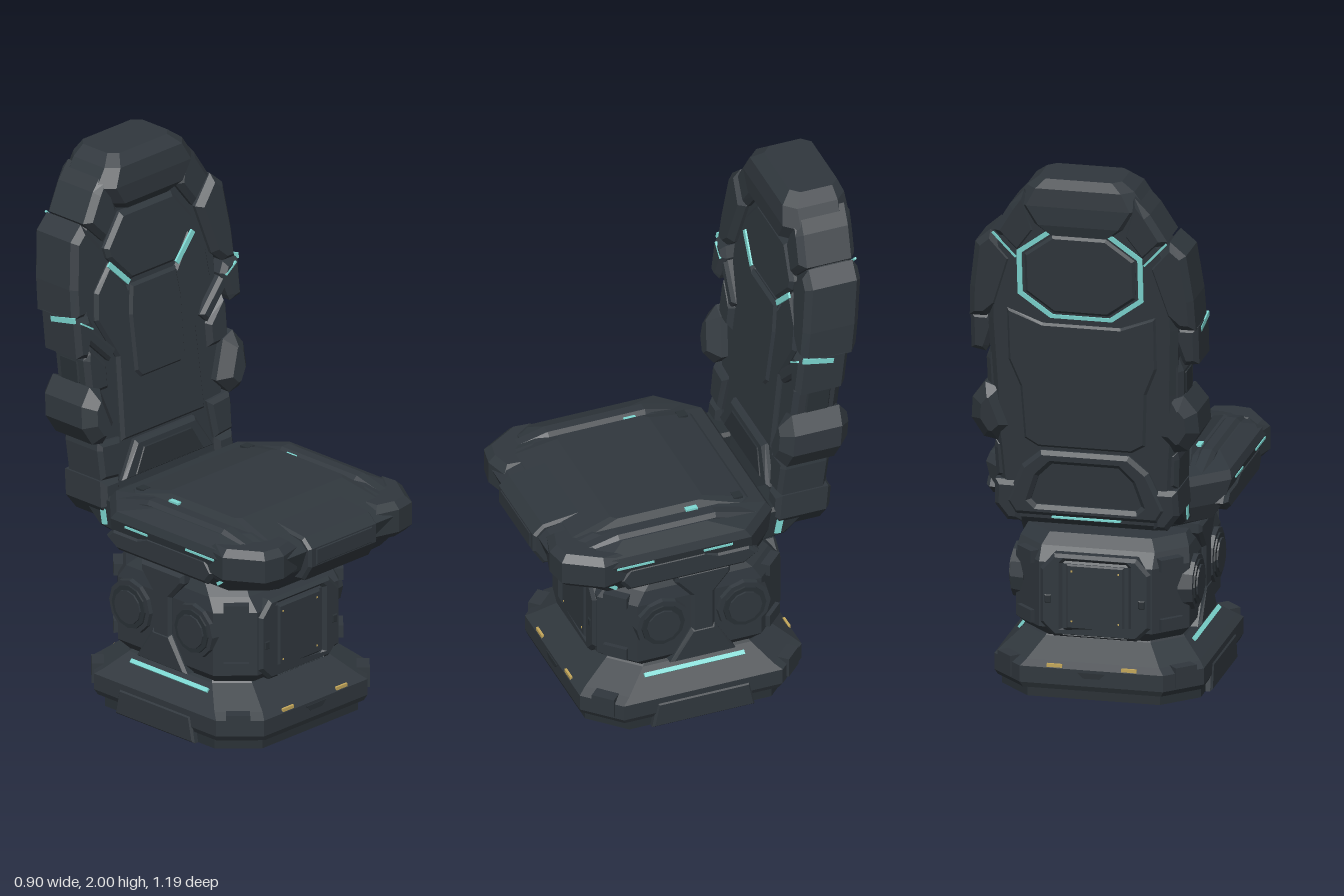
import * as THREE from 'three';

const mat = (name, color) => {
  const m = new THREE.MeshStandardMaterial({ color });
  m.name = name;
  return m;
};

export function createModel() {
  const shell = mat('dark shell', 0x30373d), joint = mat('joint grey', 0x293035);
  const glow = mat('cyan trim', 0x7dd8d2), gold = mat('gold marks', 0xc4a75a);
  const model = new THREE.Group();
  let group;
  const section = (name) => {
    group = new THREE.Group();
    group.name = name;
    model.add(group);
  };

  const add = (name, m, geo) => {
    const g = geo.index ? geo.toNonIndexed() : geo;
    g.computeVertexNormals(); // faceted look
    const mesh = new THREE.Mesh(g, m);
    mesh.name = name;
    group.add(mesh);
    return mesh;
  };

  // Bevelled outline extruded from a to b along an axis:
  // 'z' uses (x, y) points, 'x' uses (z, y), 'y' uses (x, z)
  const plate = (name, m, pts, a, b, bevel = 0.01, axis = 'z', lean = false, hole = null) => {
    const v = (list) => list.map(([x, y]) => new THREE.Vector2(x, y));
    const shape = new THREE.Shape(v(pts));
    if (hole) shape.holes.push(new THREE.Path(v(hole)));
    const geo = new THREE.ExtrudeGeometry(shape, {
      depth: b - a - 2 * bevel, bevelEnabled: bevel > 0, bevelThickness: bevel,
      bevelSize: bevel, bevelOffset: -bevel, bevelSegments: 1, curveSegments: 1,
    });
    geo.translate(0, 0, (axis === 'z' ? a : -b) + bevel);
    if (axis === 'x') geo.rotateY(-Math.PI / 2);
    if (axis === 'y') geo.rotateX(Math.PI / 2);
    if (lean) { // tilt of the backrest
      const p = geo.attributes.position;
      for (let i = 0; i < p.count; i++) p.setZ(i, p.getZ(i) - 0.385 - 0.112 * (p.getY(i) - 1));
    }
    return add(name, m, geo);
  };
  const back = (name, m, pts, a, b, bevel, hole) => plate(name, m, pts, a, b, bevel, 'z', true, hole);
  const mirror = (pts) => [...pts, ...pts.map(([x, y]) => [-x, y]).reverse()];
  const flip = (pts, s) => pts.map(([x, y]) => [x * s, y]);
  const rect = (x0, x1, y0, y1) => [[x0, y0], [x1, y0], [x1, y1], [x0, y1]];
  const strip = (x0, y0, x1, y1, w) => {
    const l = Math.hypot(x1 - x0, y1 - y0), nx = (y0 - y1) / l * w / 2, ny = (x1 - x0) / l * w / 2;
    return [[x0 + nx, y0 + ny], [x0 - nx, y0 - ny], [x1 - nx, y1 - ny], [x1 + nx, y1 + ny]];
  };
  const range = (s, a, b) => (s > 0 ? [a, b] : [-b, -a]);

  // Loft of chamfered rectangles, rows are [y, halfWidth, zFront, zBack, chamfer]
  const loft = (name, m, rows) => {
    const rings = rows.map(([y, w, f, k, c]) => [
      [w, k + c], [w, f - c], [w - c, f], [c - w, f], [-w, f - c], [-w, k + c], [c - w, k], [w - c, k],
    ].map(([x, z]) => [x, y, z]));
    const pos = [], n = 8, last = rings.length - 1;
    for (let i = 0; i < last; i++) for (let j = 0; j < n; j++) {
      const a = rings[i][j], b = rings[i][(j + 1) % n], c = rings[i + 1][j], d = rings[i + 1][(j + 1) % n];
      pos.push(...a, ...c, ...b, ...b, ...c, ...d);
    }
    for (let j = 1; j < n - 1; j++) {
      pos.push(...rings[0][0], ...rings[0][j], ...rings[0][j + 1]);
      pos.push(...rings[last][0], ...rings[last][j + 1], ...rings[last][j]);
    }
    const geo = new THREE.BufferGeometry();
    geo.setAttribute('position', new THREE.Float32BufferAttribute(pos, 3));
    return add(name, m, geo);
  };

  // Foot
  section('base');
  loft('basePlate', joint, [[0, 0.36, 0.43, -0.35, 0.12], [0.05, 0.36, 0.43, -0.35, 0.12]]);
  loft('baseBody', shell, [[0.04, 0.37, 0.45, -0.375, 0.12], [0.06, 0.38, 0.458, -0.385, 0.12],
    [0.12, 0.38, 0.458, -0.385, 0.12], [0.14, 0.36, 0.43, -0.36, 0.12],
    [0.205, 0.29, 0.33, -0.28, 0.1], [0.235, 0.27, 0.3, -0.25, 0.09]]);
  for (const s of [1, -1]) {
    plate('sideStep', shell, [[0.23, 0.0], [-0.16, 0.0], [-0.14, 0.1], [0.21, 0.1]], ...range(s, 0.3, 0.385), 0.008, 'x');
    const line = add('baseGlow', glow, new THREE.BoxGeometry(0.008, 0.016, 0.38));
    line.position.set(s * 0.316, 0.186, 0.045);
    line.rotation.z = s * 0.82;
    for (const [z, k] of [[0.458, 1], [-0.385, -1]]) {
      add('goldMark', gold, new THREE.BoxGeometry(0.055, 0.012, 0.009)).position.set(s * 0.135, 0.128, z - k * 0.007);
      // Corner armour
      const block = add('cornerArmour', shell, new THREE.BoxGeometry(0.085, 0.075, 0.06));
      block.position.set(s * 0.31, 0.105, z - k * 0.08);
      block.rotation.y = s * k * Math.PI / 4;
    }
  }
  for (const [a, b] of [[0.452, 0.461], [-0.389, -0.38]])
    plate('vent', joint, mirror([[0.03, 0.09], [0.05, 0.11]]), a, b, 0);

  // Pedestal
  section('pedestal');
  loft('pedestalBody', shell, [[0.21, 0.28, 0.33, -0.28, 0.1], [0.25, 0.315, 0.37, -0.32, 0.11],
    [0.49, 0.315, 0.37, -0.32, 0.11], [0.54, 0.305, 0.33, -0.28, 0.1], [0.578, 0.285, 0.29, -0.24, 0.1]]);
  loft('neck', joint, [[0.56, 0.15, 0.15, -0.12, 0.05], [0.59, 0.15, 0.15, -0.12, 0.05], [0.62, 0.24, 0.23, -0.23, 0.06]]);
  const frame = mirror([[0.15, 0.22], [0.2, 0.27], [0.2, 0.47], [0.15, 0.525]]);
  const opening = mirror([[0.11, 0.24], [0.12, 0.25], [0.12, 0.49], [0.11, 0.5]]);
  for (const k of [1, -1]) {
    const z = k > 0 ? 0.37 : 0.32;
    plate('panelFrame', shell, frame, ...range(k, z - 0.06, z + 0.013), 0.012, 'z', false, opening);
    plate('accessPanel', shell, rect(-0.105, 0.105, 0.25, 0.49), ...range(k, z - 0.02, z + 0.01), 0.006);
    for (const x of [-0.085, 0.085]) for (const y of [0.28, 0.465])
      add('goldBolt', gold, new THREE.BoxGeometry(0.006, 0.006, 0.006)).position.set(x, y, k * (z + 0.009));
    for (const x of [-0.17, 0.17])
      plate('panelLatch', joint, rect(x - 0.012, x + 0.012, 0.345, 0.375), ...range(k, z, z + 0.018), 0.003);
  }
  for (const s of [1, -1]) {
    for (const z of [0.17, -0.14]) {
      for (const [name, m, r, x, len] of [['discRim', shell, 0.108, 0.305, 0.05], ['discWell', joint, 0.088, 0.316, 0.04], ['discCap', shell, 0.068, 0.32, 0.044]]) {
        const disc = add(name, m, new THREE.CylinderGeometry(r * 0.92, r, len, 12));
        disc.position.set(s * x, 0.4, z);
        disc.rotation.z = -s * Math.PI / 2;
      }
    }
    plate('sidePost', shell, [[0.06, 0.3], [-0.03, 0.3], [-0.03, 0.49], [-0.09, 0.56], [-0.09, 0.595], [0.12, 0.595], [0.12, 0.56], [0.06, 0.49]], ...range(s, 0.2, 0.33), 0.012, 'x');
    plate('sideGusset', shell, [[0.14, 0.22], [-0.11, 0.22], [-0.03, 0.35], [0.06, 0.35]], ...range(s, 0.25, 0.333), 0.012, 'x');
    for (const [z, k] of [[0.29, 1], [-0.24, -1]]) for (const y of [0.28, 0.5]) {
      const lug = add('cornerLug', shell, new THREE.BoxGeometry(0.09, 0.045, 0.04));
      lug.position.set(s * 0.255, y, z + k * 0.025);
      lug.rotation.y = s * k * Math.PI / 4;
    }
  }

  // Seat
  section('seat');
  loft('seatBody', shell, [[0.6, 0.26, 0.45, -0.21, 0.08], [0.64, 0.38, 0.5, -0.24, 0.1],
    [0.7, 0.42, 0.55, -0.245, 0.11], [0.78, 0.445, 0.58, -0.25, 0.13],
    [0.81, 0.435, 0.55, -0.23, 0.13], [0.838, 0.37, 0.42, -0.06, 0.08]]);
  loft('seatCushion', shell, [[0.79, 0.3, 0.53, -0.22, 0.03], [0.825, 0.3, 0.49, -0.17, 0.03], [0.862, 0.272, 0.34, -0.01, 0.02]]);
  plate('frontLip', shell, [[0.4, 0.64], [0.56, 0.66], [0.597, 0.72], [0.597, 0.79], [0.56, 0.825], [0.42, 0.842]], -0.17, 0.17, 0.01, 'x');
  plate('frontLipPanel', shell, rect(-0.14, 0.14, 0.725, 0.785), 0.59, 0.6, 0.003);
  for (const s of [1, -1]) {
    plate('seatRail', shell, [[-0.2, 0.77], [-0.18, 0.81], [-0.02, 0.852], [0.35, 0.852], [0.5, 0.815], [0.5, 0.77]], ...range(s, 0.302, 0.365), 0.014, 'x');
    plate('frontCorner', shell, flip([[0.19, 0.45], [0.2, 0.56], [0.29, 0.585], [0.37, 0.57], [0.452, 0.44], [0.43, 0.34], [0.36, 0.42]], s), 0.69, 0.825, 0.025, 'y');
    plate('seatSidePanel', shell, [[0.38, 0.71], [0.34, 0.76], [0.05, 0.76], [0, 0.74], [-0.12, 0.74], [-0.16, 0.7], [-0.1, 0.66], [0.34, 0.66]], ...range(s, 0.38, 0.438), 0.015, 'x');
    plate('seatGlow', glow, strip(0.25, 0.773, 0.39, 0.773, 0.008), ...range(s, 0.44, 0.448), 0, 'x');
    plate('seatGlow', glow, strip(-0.05, 0.768, 0.06, 0.768, 0.008), ...range(s, 0.437, 0.446), 0, 'x');
    plate('seatGlow', glow, strip(0.38, 0.67, 0.42, 0.7, 0.012), ...range(s, 0.41, 0.419), 0, 'x');
    plate('seatSlot', joint, rect(s * 0.262 - 0.018, s * 0.262 + 0.018, -0.155, -0.12), 0.83, 0.838, 0, 'y');
    plate('seatMark', glow, rect(s * 0.29 - 0.01, s * 0.29 + 0.01, 0.025, 0.07), 0.842, 0.85, 0, 'y');
    // Hinge between seat and backrest
    plate('hinge', joint, [[-0.1, 0.64], [-0.3, 0.66], [-0.37, 0.72], [-0.33, 0.78], [-0.2, 0.78]], ...range(s, 0.16, 0.32), 0.012, 'x');
    plate('hingeGlow', glow, strip(-0.268, 0.675, -0.285, 0.765, 0.024), ...range(s, 0.316, 0.325), 0, 'x');
  }

  // Backrest, in layers in front of and behind one leaning core
  section('backrest');
  back('backCore', shell, mirror([[0.25, 0.67], [0.31, 0.73], [0.325, 0.95], [0.33, 1.0], [0.335, 1.2], [0.345, 1.45],
    [0.34, 1.7], [0.285, 1.81], [0.16, 1.95]]), -0.095, 0.075, 0.025);
  back('torsoPanel', shell, mirror([[0.21, 0.95], [0.2, 1.26], [0.29, 1.42], [0.28, 1.52], [0.2, 1.61], [0.12, 1.5]]), 0.05, 0.092, 0.012);
  back('centrePanel', shell, mirror([[0.1, 1.16], [0.125, 1.19], [0.13, 1.4], [0.115, 1.51]]), 0.08, 0.102, 0.01);
  back('lowerTrim', shell, mirror([[0.23, 0.81], [0.15, 0.94], [0.13, 0.94]]), 0.05, 0.1, 0.012);
  back('lowerInset', joint, mirror([[0.17, 0.82], [0.12, 0.91]]), 0.095, 0.104, 0.003);
  back('facePanel', shell, mirror([[0.11, 1.525], [0.21, 1.63], [0.22, 1.67], [0.13, 1.78]]), 0.06, 0.1, 0.014);
  loft('headrest', shell, [[1.79, 0.13, -0.375, -0.575, 0.03], [1.83, 0.185, -0.342, -0.588, 0.04],
    [1.9, 0.238, -0.342, -0.592, 0.05], [1.965, 0.195, -0.355, -0.588, 0.04], [2.0, 0.15, -0.395, -0.575, 0.03]]);
  // Rear plates and octagonal light ring
  back('rearPlate', shell, mirror([[0.17, 0.97], [0.22, 1.0], [0.23, 1.2], [0.27, 1.3], [0.27, 1.5], [0.14, 1.45]]), -0.104, -0.08, 0.01);
  const octagon = (r, q) => mirror([[q, 1.64 - r * 0.74], [r, 1.64 - q * 0.74], [r, 1.64 + q * 0.74], [q, 1.64 + r * 0.74]]);
  back('rearRing', glow, octagon(0.228, 0.112), -0.102, -0.093, 0, octagon(0.21, 0.102));
  back('rearDisc', shell, octagon(0.2, 0.098), -0.107, -0.08, 0.01);
  back('rearArch', shell, mirror([[0.26, 0.71], [0.29, 0.76], [0.23, 0.9], [0.16, 0.96]]), -0.118, -0.07, 0.015,
    mirror([[0.18, 0.75], [0.2, 0.77], [0.17, 0.86], [0.12, 0.91]]));
  add('rearGlow', glow, new THREE.BoxGeometry(0.25, 0.006, 0.03)).position.set(0, 0.707, -0.452);
  for (const s of [1, -1]) {
    const side = (name, m, pts, a, b, bevel) => back(name, m, flip(pts, s), a, b, bevel);
    side('faceGlow', glow, strip(0.12, 1.52, 0.212, 1.612, 0.02), 0.092, 0.1, 0);
    side('shoulder', shell, [[0.15, 1.8], [0.225, 1.7], [0.315, 1.79], [0.255, 1.89], [0.2, 1.95]], -0.1, 0.112, 0.022);
    side('upperWing', shell, [[0.24, 1.69], [0.3, 1.5], [0.35, 1.455], [0.41, 1.455], [0.405, 1.57], [0.382, 1.74], [0.325, 1.79]], -0.1, 0.11, 0.022);
    side('lowerWing', shell, [[0.32, 1.42], [0.35, 1.33], [0.36, 1.31], [0.413, 1.32], [0.413, 1.46], [0.34, 1.46]], -0.07, 0.118, 0.018);
    plate('wingGlow', glow, strip(-0.33, 1.463, -0.445, 1.44, 0.02), ...range(s, 0.406, 0.415), 0, 'x');
    side('wingFrontGlow', glow, strip(0.335, 1.415, 0.39, 1.45, 0.006), 0.112, 0.12, 0);
    side('wingRib', shell, strip(0.23, 1.28, 0.38, 1.43, 0.05), 0.04, 0.105, 0.012);
    side('shoulderGlow', glow, strip(0.232, 1.695, 0.315, 1.785, 0.008), -0.098, -0.09, 0);
    side('waist', shell, [[0.25, 1.16], [0.355, 1.16], [0.358, 1.29], [0.34, 1.34], [0.25, 1.25]], -0.075, 0.095, 0.018);
    side('sideInset', joint, [[0.28, 1.19], [0.362, 1.2], [0.362, 1.28], [0.3, 1.28]], -0.04, 0.05, 0.005);
    side('sidePod', shell, [[0.26, 1.04], [0.32, 0.98], [0.37, 0.99], [0.413, 1.06], [0.407, 1.14], [0.36, 1.2], [0.31, 1.18]], -0.12, 0.14, 0.04);
    side('hipBlock', shell, [[0.24, 0.83], [0.33, 0.84], [0.335, 0.95], [0.33, 0.98], [0.22, 0.97]], -0.085, 0.1, 0.015);
    side('hipBlock', shell, [[0.24, 0.68], [0.29, 0.68], [0.335, 0.74], [0.33, 0.835], [0.24, 0.835]], -0.11, 0.1, 0.018);
  }
  return model;
}
